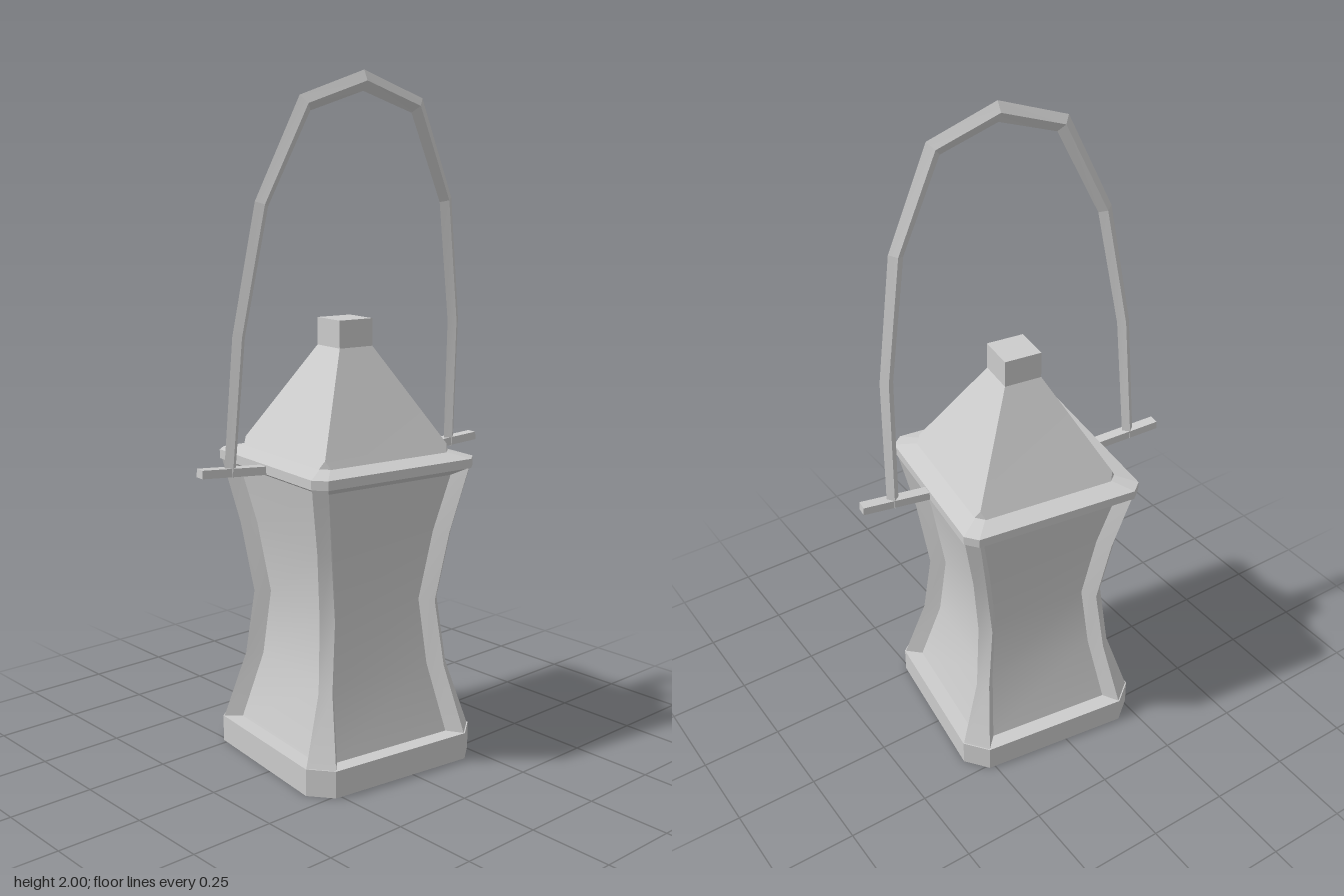
import * as THREE from 'three';
import { toCreasedNormals } from 'three/addons/utils/BufferGeometryUtils.js';

const material = new THREE.MeshStandardMaterial({ color: 0xcccccc });

// Skin closed rings of points (counter-clockwise seen from the end), with optional caps.
function loft(name, rings, { bottom = true, top = true, crease = 0.1 } = {}) {
  const pos = [];
  const tri = (a, b, c) => {
    const area = b.clone().sub(a).cross(c.clone().sub(a)).length();
    if (area > 1e-7) for (const p of [a, b, c]) pos.push(p.x, p.y, p.z);
  };
  const n = rings[0].length;
  for (let k = 0; k < rings.length - 1; k++) {
    for (let i = 0; i < n; i++) {
      const j = (i + 1) % n, lo = rings[k], hi = rings[k + 1];
      tri(lo[i], lo[j], hi[j]);
      tri(lo[i], hi[j], hi[i]);
    }
  }
  const first = rings[0], last = rings[rings.length - 1];
  for (let i = 1; i < n - 1; i++) {
    if (bottom) tri(first[0], first[i + 1], first[i]);
    if (top) tri(last[0], last[i], last[i + 1]);
  }
  const geometry = new THREE.BufferGeometry();
  geometry.setAttribute('position', new THREE.Float32BufferAttribute(pos, 3));
  const mesh = new THREE.Mesh(toCreasedNormals(geometry, crease), material);
  mesh.name = name;
  return mesh;
}

// Repeat one side's points, given as [x, y, z] on the +z side, around four sides.
function fourSides(points) {
  const ring = [];
  for (let s = 0; s < 4; s++) {
    for (const [x, y, z] of points) {
      ring.push([new THREE.Vector3(x, y, z), new THREE.Vector3(z, y, -x),
        new THREE.Vector3(-x, y, -z), new THREE.Vector3(-z, y, x)][s]);
    }
  }
  return ring;
}

// Square of half width h whose flat sides reach only to c, so the corners are cut.
const cutSquare = (h, c, y) => fourSides([[-c, y, h], [c, y, h]]);

// Corner posts with a panel sunk between them.
function panelledRing([y, h, c, inset, depth]) {
  return fourSides([[-c, y, h], [-c + inset, y, h - depth], [c - inset, y, h - depth], [c, y, h]]);
}

export function createModel() {
  const model = new THREE.Group();
  model.name = 'lantern';

  model.add(loft('base', [cutSquare(0.293, 0.232, 0), cutSquare(0.293, 0.232, 0.08)]));

  // Waisted body: y, half width, side reach, panel inset, panel depth
  const levels = [
    [0.08, 0.29, 0.23, 0.034, 0.045],
    [0.28, 0.228, 0.2, 0.032, 0.042],
    [0.48, 0.209, 0.178, 0.03, 0.04],
    [0.69, 0.236, 0.208, 0.03, 0.04],
    [0.86, 0.271, 0.239, 0.026, 0.04],
    [0.885, 0.276, 0.244, 0, 0],
  ];
  model.add(loft('body', levels.map(panelledRing), { bottom: false, top: false, crease: 0.45 }));

  model.add(loft('rim', [
    cutSquare(0.281, 0.248, 0.885),
    cutSquare(0.281, 0.248, 0.912),
    cutSquare(0.22, 0.2, 0.928),
  ]));

  // Pyramid roof with nipped corners, ending in a square stub
  model.add(loft('roof', [
    cutSquare(0.226, 0.2, 0.925),
    cutSquare(0.212, 0.212, 0.95),
    cutSquare(0.057, 0.057, 1.23),
    cutSquare(0.057, 0.057, 1.31),
  ], { bottom: false }));

  // Pegs that carry the handle, front and back
  for (const side of [1, -1]) {
    const peg = new THREE.Mesh(new THREE.BoxGeometry(0.033, 0.024, 0.23), material);
    peg.name = side > 0 ? 'frontPeg' : 'backPeg';
    peg.position.set(0, 0.902, side * 0.37);
    peg.rotation.x = -side * 0.07;
    model.add(peg);
  }

  // Faceted handle: z, height above the pegs, half thickness; mirrored front to back
  const half = [[0.39, -0.01, 0.018], [0.374, 0.385, 0.02], [0.315, 0.745, 0.022], [0.189, 1.012, 0.025]];
  const path = [...half, [0, 1.076, 0.027], ...half.map(([z, y, r]) => [-z, y, r]).reverse()];
  const direction = (a, b) => new THREE.Vector2(b[1] - a[1], b[0] - a[0]).normalize();
  const rings = path.map((p, i) => {
    const before = direction(path[Math.max(i - 1, 0)], path[Math.max(i, 1)]);
    const end = path.length - 1;
    const after = direction(path[Math.min(i, end - 1)], path[Math.min(i + 1, end)]);
    const t = before.clone().add(after).normalize();
    const r = p[2] / t.dot(after);
    const inward = new THREE.Vector3(0, t.y * r, -t.x * r);
    const centre = new THREE.Vector3(0, p[1], p[0]);
    const across = new THREE.Vector3(0.018, 0, 0);
    return [centre.clone().add(across), centre.clone().add(inward),
      centre.clone().sub(across), centre.clone().sub(inward)];
  });
  const handle = loft('handle', rings);
  handle.position.y = 0.9;
  handle.rotation.z = -0.085;
  model.add(handle);

  // The whole lantern stands slightly turned
  model.rotation.y = -0.13;
  const group = new THREE.Group();
  group.name = 'lanternModel';
  group.add(model);
  return group;
}
